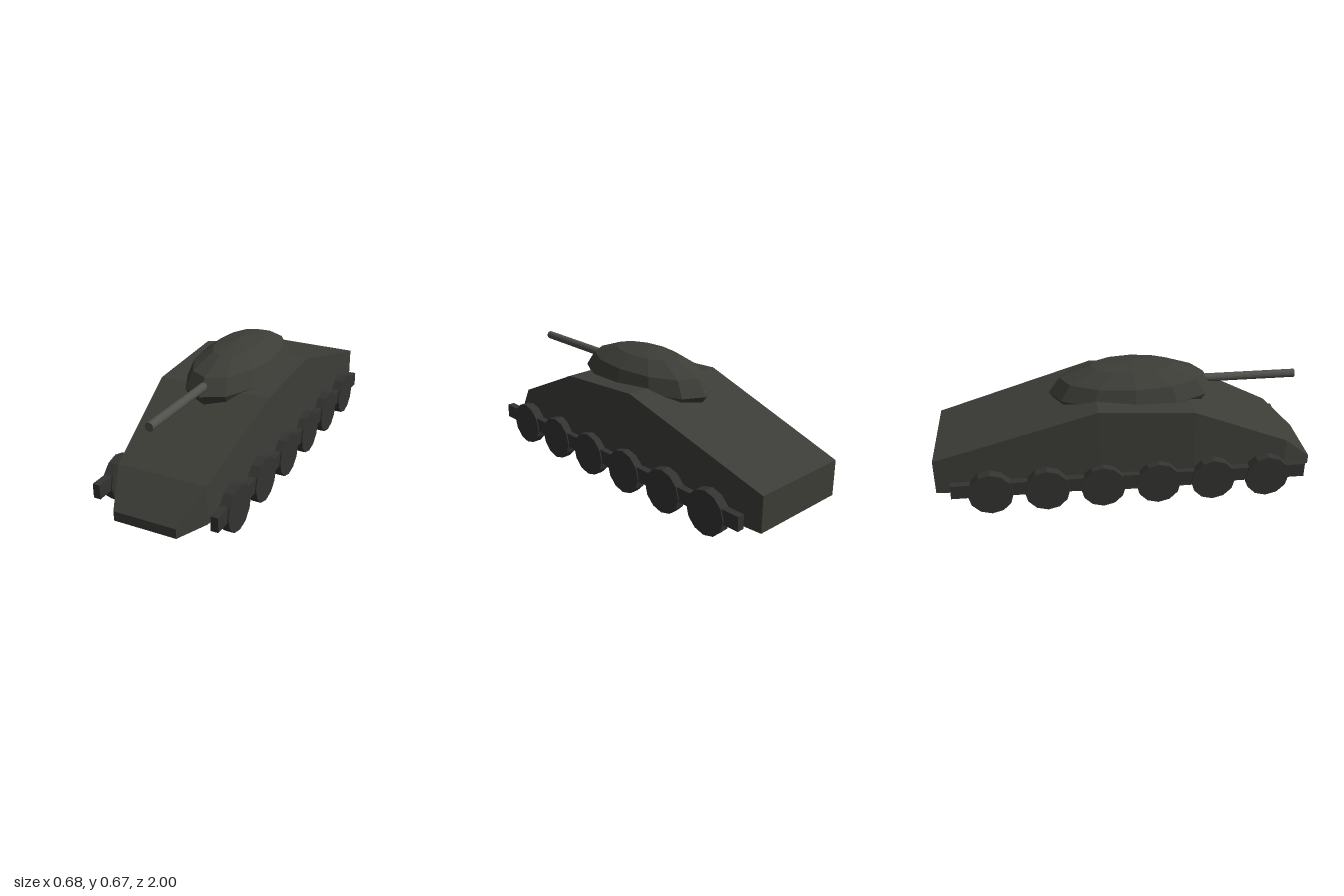
import * as THREE from 'three';

const paint = (color) => new THREE.MeshStandardMaterial({ color, flatShading: true });

// Lofts four-cornered sections [z, halfWidth, bottom, top], listed front to back
function loftHull(sections) {
  const rings = sections.map(([z, w, b, t]) => [[-w, b, z], [w, b, z], [w, t, z], [-w, t, z]]);
  const pos = [];
  const quad = (a, b, c, d) => [a, b, c, a, c, d].forEach((p) => pos.push(...p));
  for (let k = 0; k < rings.length - 1; k++) {
    const f = rings[k], r = rings[k + 1];
    for (let i = 0; i < 4; i++) {
      const j = (i + 1) % 4;
      quad(f[i], r[i], r[j], f[j]);
    }
  }
  quad(...rings[0]);
  quad(...[...rings[rings.length - 1]].reverse());
  const geo = new THREE.BufferGeometry();
  geo.setAttribute('position', new THREE.Float32BufferAttribute(pos, 3));
  geo.computeVertexNormals();
  return geo;
}

export function createModel() {
  const model = new THREE.Group();
  model.name = 'tank';
  const armour = paint(0x3d3d38);
  const running = paint(0x333332);
  const steel = paint(0x50504d);

  const add = (parent, name, geo, mat, x = 0, y = 0, z = 0) => {
    const mesh = new THREE.Mesh(geo, mat);
    mesh.name = name;
    mesh.position.set(x, y, z);
    parent.add(mesh);
    return mesh;
  };

  // Wedge-nosed hull with a sloping rear deck
  add(model, 'hull', loftHull([
    [1.0, 0.165, 0.068, 0.118],
    [0.84, 0.235, 0.068, 0.267],
    [0.33, 0.3, 0.068, 0.503],
    [-0.16, 0.3, 0.068, 0.536],
    [-1.0, 0.267, 0.1, 0.287],
  ]), armour);

  // Faceted ellipsoid turret, sunk into the hull
  const dome = new THREE.SphereGeometry(1, 12, 6).scale(0.22, 0.163, 0.437);
  add(model, 'turret', dome, armour, 0, 0.508, 0.04);

  // Gun barrel
  const barrel = new THREE.CylinderGeometry(0.022, 0.022, 0.52, 16).rotateX(Math.PI / 2);
  add(model, 'gunBarrel', barrel, steel, 0, 0.546, 0.66);

  // Running gear: a beam and six road wheels on each side
  const wheel = new THREE.CylinderGeometry(0.116, 0.116, 0.051, 12).rotateZ(Math.PI / 2);
  const beam = new THREE.BoxGeometry(0.038, 0.075, 1.84);
  for (const side of [1, -1]) {
    const gear = new THREE.Group();
    gear.name = side > 0 ? 'leftRunningGear' : 'rightRunningGear';
    model.add(gear);
    add(gear, 'beam', beam, running, side * 0.314, 0.138, 0);
    for (let i = 0; i < 6; i++) {
      add(gear, 'roadWheel', wheel, running, side * 0.314, 0.116, 0.72 - i * 0.288);
    }
  }
  return model;
}
